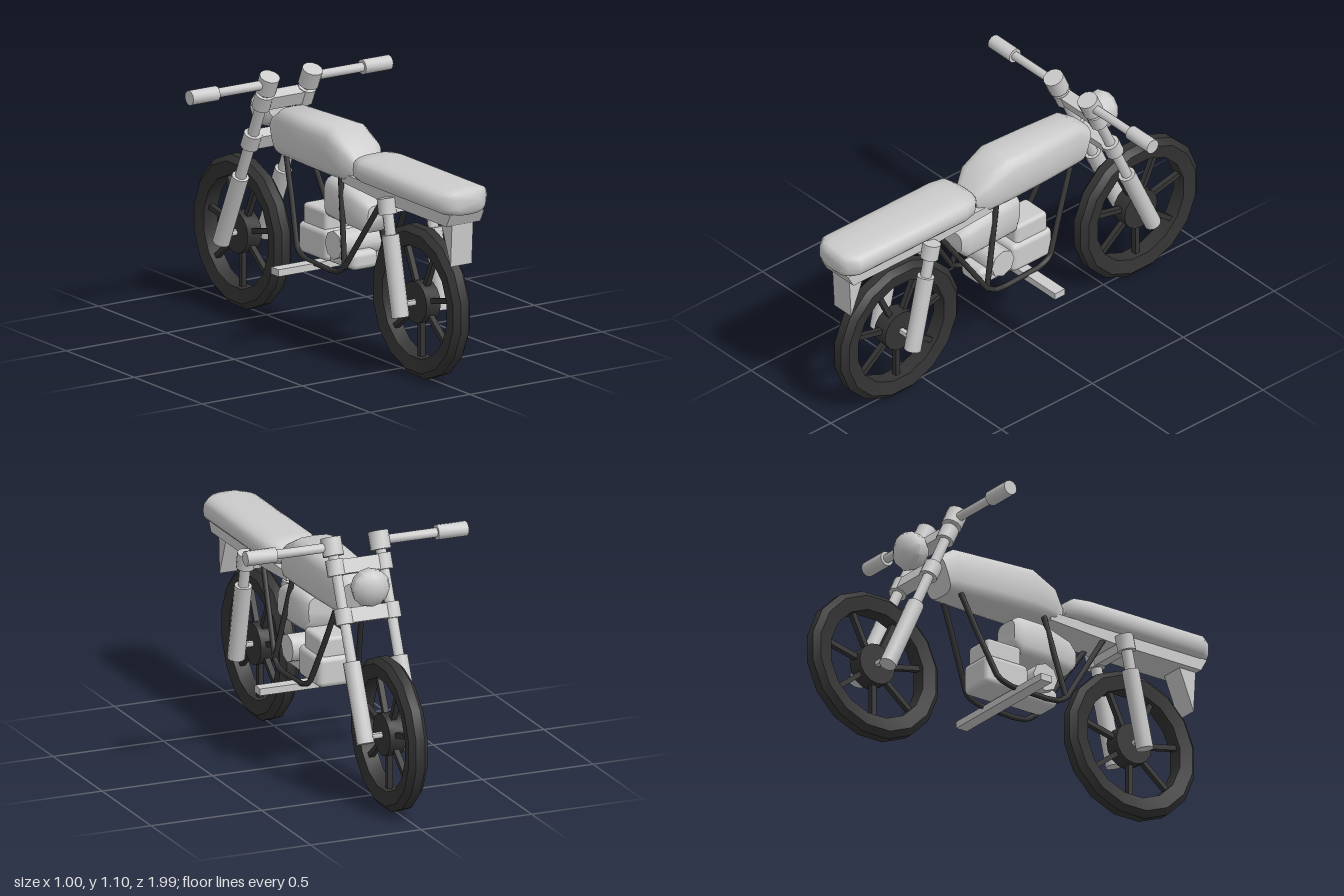
import * as THREE from 'three';
import { toCreasedNormals } from 'three/addons/utils/BufferGeometryUtils.js';
import { RoundedBoxGeometry } from 'three/addons/geometries/RoundedBoxGeometry.js';

const light = new THREE.MeshStandardMaterial({ name: 'light grey', color: 0xcccccc });
const dark = new THREE.MeshStandardMaterial({ name: 'dark grey', color: 0x333333 });

function add(parent, name, geo, mat, x = 0, y = 0, z = 0) {
  const m = new THREE.Mesh(geo, mat);
  m.name = name;
  m.position.set(x, y, z);
  parent.add(m);
  return m;
}

const cyl = (r, h, n = 12) => toCreasedNormals(new THREE.CylinderGeometry(r, r, h, n), 0.9);
const crossCyl = (r, h, n = 12) => cyl(r, h, n).rotateZ(Math.PI / 2);

// Rounded body through sections [zBottom, zTop, halfWidth, yBottom, yTop], listed by rising z
function loft(sections, e = 0.55, n = 20) {
  const pos = [], idx = [];
  const pw = (v) => Math.sign(v) * Math.pow(Math.abs(v), e);
  for (const [zb, zt, w, yb, yt] of sections) {
    for (let j = 0; j < n; j++) {
      const t = (j / n) * Math.PI * 2;
      const k = (pw(Math.sin(t)) + 1) / 2;
      pos.push(w * pw(Math.cos(t)), yb + (yt - yb) * k, zb + (zt - zb) * k);
    }
  }
  const last = sections.length - 1;
  for (let i = 0; i < last; i++) {
    for (let j = 0; j < n; j++) {
      const a = i * n + j, b = i * n + (j + 1) % n;
      idx.push(a, b, b + n, a, b + n, a + n);
    }
  }
  for (let j = 1; j < n - 1; j++) {
    idx.push(0, j + 1, j, last * n, last * n + j, last * n + j + 1);
  }
  const g = new THREE.BufferGeometry();
  g.setAttribute('position', new THREE.Float32BufferAttribute(pos, 3));
  g.setIndex(idx);
  return toCreasedNormals(g, 0.85);
}

function wheel(name, z) {
  const g = new THREE.Group();
  g.name = name;
  g.position.set(0, 0.32, z);
  const profile = [[0.24, -0.034], [0.3, -0.043], [0.326, -0.02], [0.326, 0.02],
    [0.3, 0.043], [0.24, 0.034], [0.24, -0.034]].map((p) => new THREE.Vector2(...p));
  const tyre = new THREE.LatheGeometry(profile, 16).rotateZ(Math.PI / 2).rotateX(Math.PI / 16);
  add(g, 'tyre', toCreasedNormals(tyre, 0.6), dark);
  add(g, 'hub', crossCyl(0.09, 0.07, 16), dark);
  add(g, 'axle', crossCyl(0.014, 0.16, 8), light);
  for (let i = 0; i < 7; i++) {
    const spoke = new THREE.BoxGeometry(0.024, 0.18, 0.022).translate(0, -0.165, 0);
    add(g, 'spoke', spoke, dark).rotation.x = (i / 7) * Math.PI * 2;
  }
  return g;
}

// Clamp joining both legs of a fork or shock pair
function clamp(parent, name, s) {
  for (const x of [-0.107, 0.107]) add(parent, name, cyl(0.039, 0.068), light, x, s, 0);
  add(parent, name, new THREE.BoxGeometry(0.2, 0.062, 0.055), light, 0, s, 0);
}

// Pair of telescopic legs rising along local y
function legs(name, y, z, tilt, length) {
  const g = new THREE.Group();
  g.name = name;
  g.position.set(0, y, z);
  g.rotation.x = tilt;
  for (const x of [-0.107, 0.107]) {
    add(g, 'lowerLeg', cyl(0.037, 0.345), light, x, 0.172, 0);
    add(g, 'upperLeg', cyl(0.024, length - 0.33, 8), light, x, (length + 0.33) / 2, 0);
  }
  return g;
}

export function createModel() {
  const bike = new THREE.Group();
  bike.name = 'motorcycle';

  bike.add(wheel('frontWheel', -0.675), wheel('rearWheel', 0.642));

  // Rear shocks
  const rear = legs('rearShocks', 0.268, 0.645, -0.216, 0.47);
  clamp(rear, 'shockClamp', 0.465);
  bike.add(rear);

  // Front fork with handlebar
  const fork = legs('frontFork', 0.29, -0.675, 0.4256, 0.82);
  clamp(fork, 'lowerClamp', 0.535);
  clamp(fork, 'upperClamp', 0.74);
  for (const s of [-1, 1]) {
    add(fork, 'barMount', cyl(0.044, 0.078), light, s * 0.107, 0.829, 0);
    add(fork, 'handlebar', crossCyl(0.02, 0.27, 8), light, s * 0.24, 0.829, 0);
    add(fork, 'grip', crossCyl(0.032, 0.135), light, s * 0.432, 0.829, 0);
  }
  bike.add(fork);

  // Headlight, opening forward
  const lamp = [[0, -0.06], [0.045, -0.06], [0.075, -0.03], [0.084, 0.015],
    [0.07, 0.042], [0.04, 0.06], [0, 0.066]].map((p) => new THREE.Vector2(...p));
  const lampGeo = toCreasedNormals(new THREE.LatheGeometry(lamp, 12), 0.8).rotateX(-Math.PI / 2);
  add(bike, 'headlight', lampGeo, light, 0, 0.9, -0.478).rotation.x = -0.15;

  // Tank and seat
  add(bike, 'tank', loft([
    [-0.32, -0.375, 0.08, 0.737, 0.89],
    [-0.3, -0.3, 0.09, 0.735, 0.943],
    [-0.1, -0.1, 0.104, 0.735, 0.948],
    [0.09, 0.09, 0.11, 0.735, 0.954],
    [0.2, 0.2, 0.1, 0.737, 0.9],
    [0.245, 0.262, 0.065, 0.745, 0.83],
  ]), light);
  add(bike, 'seat', loft([
    [0.265, 0.265, 0.075, 0.785, 0.85],
    [0.31, 0.3, 0.115, 0.768, 0.877],
    [0.36, 0.36, 0.126, 0.765, 0.88],
    [0.94, 0.94, 0.126, 0.765, 0.88],
    [0.985, 0.985, 0.09, 0.768, 0.877],
    [1, 1, 0.06, 0.785, 0.86],
  ], 0.65), light);

  // Subframe rail and rear mudguard, as side profiles stretched across x
  const slab = (points, width) => {
    const shape = new THREE.Shape(points.map(([z, y]) => new THREE.Vector2(-z, y)));
    return new THREE.ExtrudeGeometry(shape, { depth: width, bevelEnabled: false })
      .translate(0, 0, -width / 2).rotateY(Math.PI / 2);
  };
  add(bike, 'subframe', slab([[0.98, 0.775], [0.95, 0.72], [0.5, 0.72], [0.18, 0.738], [0.18, 0.775]], 0.17), light);
  add(bike, 'rearMudguard', slab([[0.945, 0.725], [0.935, 0.54], [0.86, 0.725]], 0.106), light);

  // Cradle frame tubes
  for (const s of [-1, 1]) {
    const tube = (name, pts) => {
      const path = new THREE.CurvePath();
      const v = pts.map(([x, y, z]) => new THREE.Vector3(s * x, y, z));
      for (let i = 1; i < v.length; i++) path.add(new THREE.LineCurve3(v[i - 1], v[i]));
      add(bike, name, new THREE.TubeGeometry(path, 40, 0.012, 8), dark);
    };
    tube('cradleTube', [[0.065, 0.735, 0.465], [0.112, 0.39, 0.24], [0.115, 0.362, 0.2],
      [0.115, 0.355, 0.14], [0.113, 0.362, -0.05], [0.11, 0.385, -0.11], [0.08, 0.58, -0.195], [0.06, 0.745, -0.265]]);
    tube('centreTube', [[0.07, 0.76, 0.15], [0.112, 0.38, 0.24]]);
  }

  // Air box and engine
  add(bike, 'airBox', loft([
    [0.012, 0.01, 0.06, 0.59, 0.71],
    [0.045, 0.04, 0.08, 0.548, 0.73],
    [0.17, 0.17, 0.084, 0.545, 0.725],
    [0.3, 0.29, 0.075, 0.538, 0.69],
    [0.33, 0.33, 0.055, 0.57, 0.66],
  ]), light);
  add(bike, 'engineBlock', new RoundedBoxGeometry(0.17, 0.135, 0.22, 2, 0.025), light, 0, 0.432, -0.04);
  add(bike, 'cylinderHead', new RoundedBoxGeometry(0.14, 0.1, 0.175, 2, 0.018), light, 0, 0.53, -0.047);
  add(bike, 'crankcase', new RoundedBoxGeometry(0.13, 0.08, 0.25, 2, 0.025), light, 0, 0.4, 0.11);
  add(bike, 'crankCover', crossCyl(0.062, 0.2, 8), light, 0, 0.46, 0.14);
  add(bike, 'footPegs', new THREE.BoxGeometry(0.594, 0.03, 0.055), light, 0, 0.344, 0);

  return bike;
}
